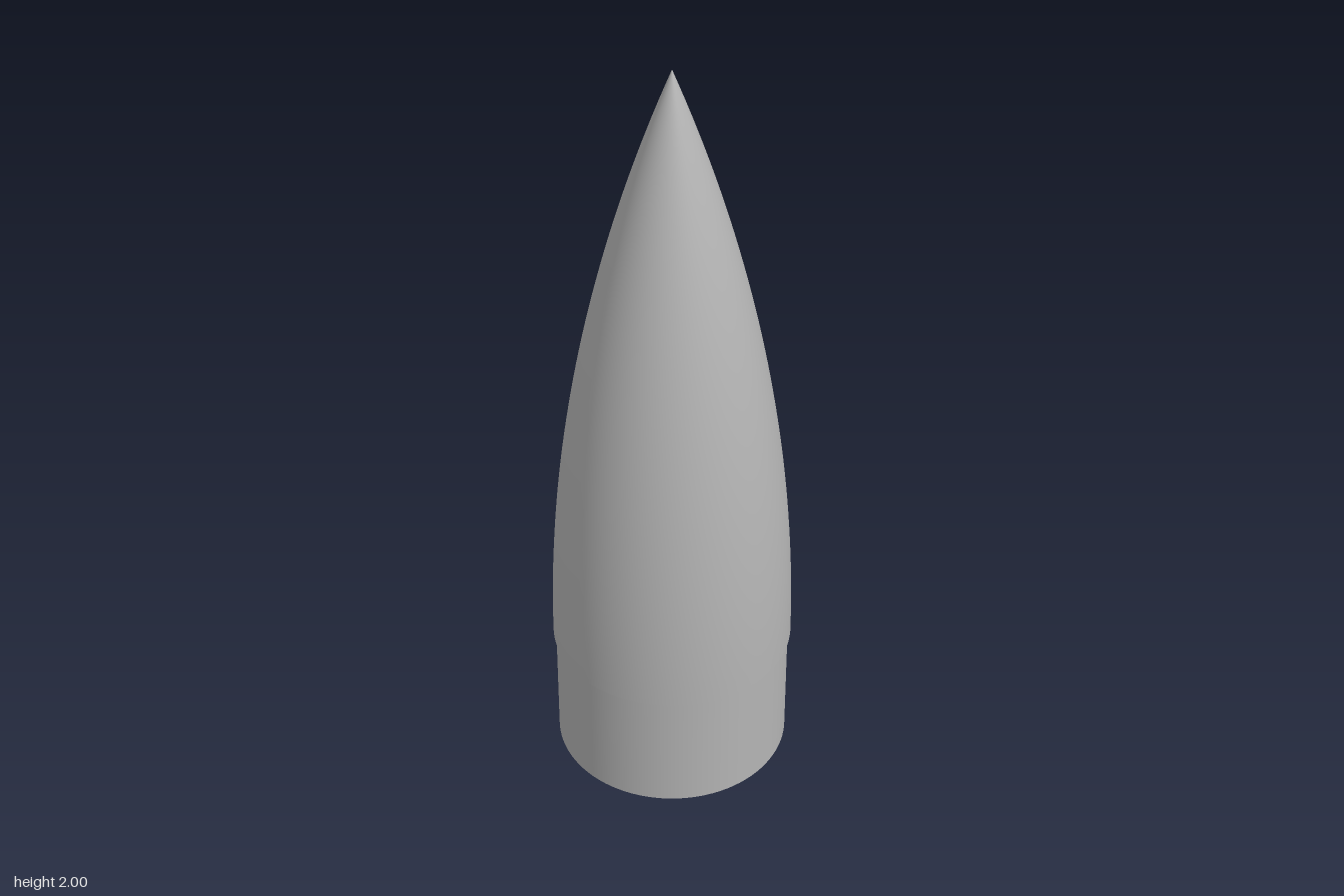
import * as THREE from 'three';

const SEGMENTS = 96;
const TOP = 2, STEP = 0.34;          // tip height and height where the nose meets the shoulder
const NOSE_R = 0.312, OUTER_R = 0.305, INNER_R = 0.288;

// Tangent ogive profile, listed from base to tip
function ogive(radius, base, tip, steps = 40) {
  const length = tip - base;
  const rho = (radius * radius + length * length) / (2 * radius);
  const points = [];
  for (let i = 0; i <= steps; i++) {
    const h = (length * i) / steps;
    const r = Math.sqrt(rho * rho - h * h) + radius - rho;
    points.push([i === steps ? 0 : r, base + h]);
  }
  return points;
}

export function createModel() {
  const model = new THREE.Group();
  model.name = 'noseCone';

  const grey = new THREE.MeshStandardMaterial({ color: 0xb4b4b4 });
  grey.name = 'plainGrey';

  // Each surface is its own lathe, so the edges between them stay sharp
  const turn = (name, profile, parent) => {
    const points = profile.map(([r, y]) => new THREE.Vector2(r, y));
    const mesh = new THREE.Mesh(new THREE.LatheGeometry(points, SEGMENTS), grey);
    mesh.name = name;
    parent.add(mesh);
  };

  // Pointed shell: outside, small ledge under it, hollow inside
  const nose = new THREE.Group();
  nose.name = 'nose';
  turn('noseOutside', ogive(NOSE_R, STEP, TOP), nose);
  turn('noseLedge', [[OUTER_R, STEP], [NOSE_R, STEP]], nose);
  turn('noseInside', ogive(INNER_R, STEP, TOP - 0.08).reverse(), nose);

  // Open tube that plugs into the body below
  const shoulder = new THREE.Group();
  shoulder.name = 'shoulder';
  turn('shoulderOutside', [[OUTER_R, 0], [OUTER_R, STEP]], shoulder);
  turn('shoulderRim', [[INNER_R, 0], [OUTER_R, 0]], shoulder);
  turn('shoulderInside', [[INNER_R, STEP], [INNER_R, 0]], shoulder);

  // Attachment bar across the opening
  const bar = new THREE.Mesh(new THREE.BoxGeometry(0.575, 0.05, 0.06), grey);
  bar.name = 'crossBar';
  bar.position.y = 0.095;

  model.add(nose, shoulder, bar);
  return model;
}
